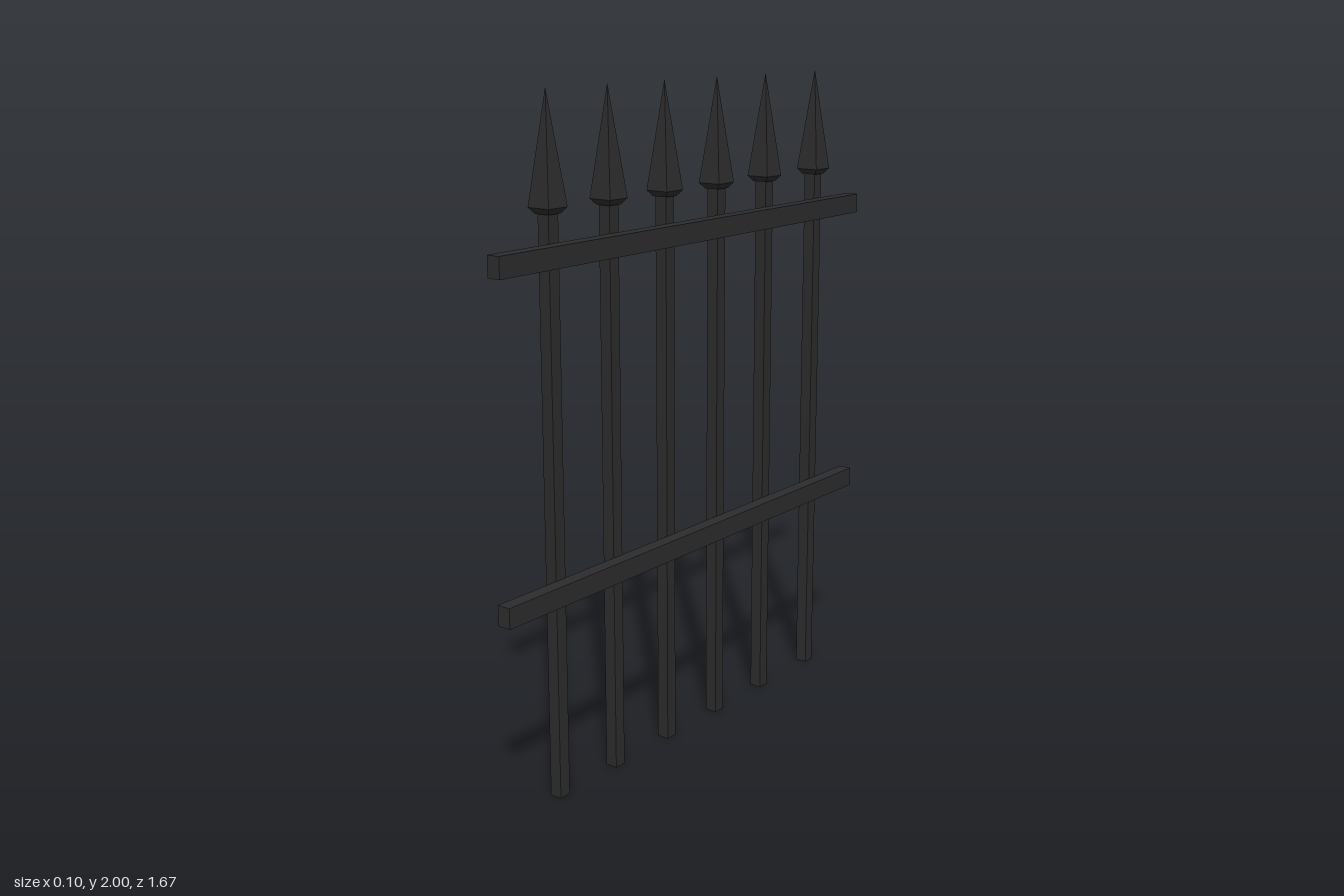
import * as THREE from 'three';

export function createModel() {
  const group = new THREE.Group();
  const iron = new THREE.MeshStandardMaterial({ color: 0x2c2c2c, flatShading: true });
  iron.name = 'dark iron';

  const add = (name, geometry, x, y, z) => {
    const mesh = new THREE.Mesh(geometry, iron);
    mesh.name = name;
    mesh.position.set(x, y, z);
    group.add(mesh);
  };

  // Square spearhead: short flare below, long point above
  const profile = [[0, 1.673], [0.024, 1.673], [0.037, 1.69], [0, 2]]
    .map(([half, y]) => new THREE.Vector2(half * Math.SQRT2, y));
  const spear = new THREE.LatheGeometry(profile, 4, Math.PI / 4);

  // Uprights with spearheads
  const barX = -0.0125;
  const bar = new THREE.BoxGeometry(0.038, 1.68, 0.038);
  for (const z of [0.59, 0.345, 0.099, -0.146, -0.392, -0.662]) {
    add('upright', bar, barX, 0.84, z);
    add('spearhead', spear, barX, 0, z);
  }

  // Horizontal rails along the left side of the uprights
  const rail = new THREE.BoxGeometry(0.042, 0.06, 1.674);
  add('lowerRail', rail, 0.026, 0.629, 0);
  add('upperRail', rail, 0.026, 1.566, 0);

  return group;
}
